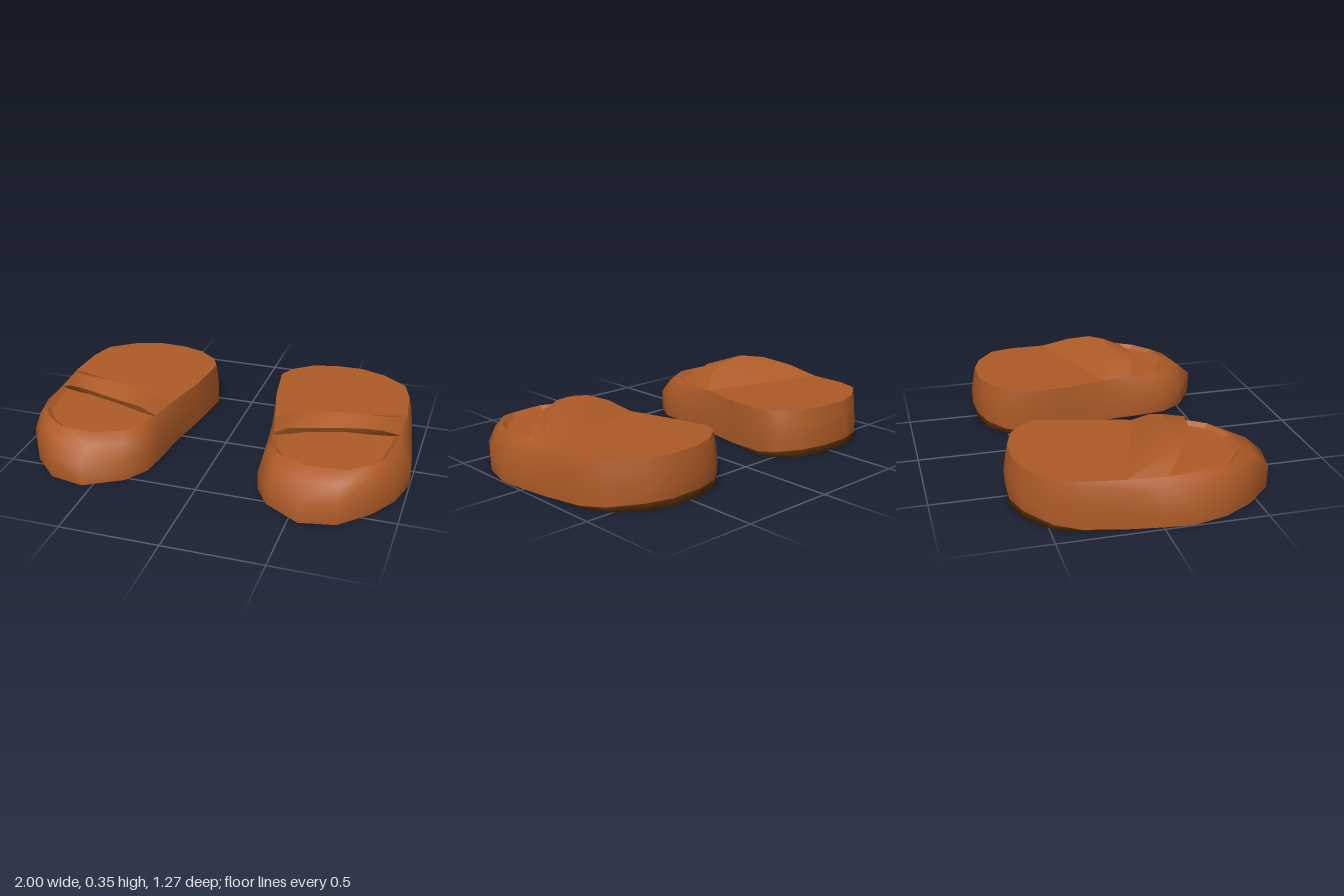
import * as THREE from 'three';

const leather = new THREE.MeshStandardMaterial({ color: 0xae5b27 });
leather.name = 'brown leather';
const rubber = new THREE.MeshStandardMaterial({ color: 0x5f360f });
rubber.name = 'dark brown sole';

// Stations around one shoe: widest outline x, z, then top rim x, z, y
const stations = [
  [0.44, -0.63, 0.45, -0.61, 0.245], [0.61, -0.636, 0.60, -0.615, 0.245],
  [0.74, -0.597, 0.73, -0.575, 0.243], [0.88, -0.485, 0.865, -0.48, 0.24],
  [0.93, -0.365, 0.905, -0.36, 0.237], [0.96, -0.16, 0.925, -0.16, 0.23],
  [0.985, 0, 0.92, 0.04, 0.218], [1, 0.14, 0.91, 0.15, 0.218],
  [0.955, 0.315, 0.89, 0.29, 0.217], [0.87, 0.458, 0.84, 0.37, 0.217],
  [0.73, 0.6, 0.73, 0.455, 0.217], [0.55, 0.636, 0.54, 0.468, 0.217],
  [0.365, 0.523, 0.40, 0.405, 0.217], [0.29, 0.403, 0.335, 0.32, 0.217],
  [0.27, 0.25, 0.315, 0.21, 0.219], [0.255, 0.06, 0.28, 0.05, 0.225],
  [0.215, -0.19, 0.222, -0.19, 0.23], [0.175, -0.425, 0.19, -0.425, 0.24],
  [0.215, -0.515, 0.23, -0.50, 0.243], [0.31, -0.595, 0.33, -0.575, 0.245],
];
const HEEL_END = 5, STRAP_INNER = 15;

// Strap edges, inner end to outer end
const crest = [[0.28, 0.225, 0.05], [0.37, 0.287, 0.115], [0.48, 0.33, 0.14], [0.62, 0.348, 0.135],
  [0.75, 0.326, 0.08], [0.865, 0.28, -0.02], [0.925, 0.23, -0.16]];
const front = [[0.315, 0.219, 0.21], [0.385, 0.272, 0.238], [0.47, 0.3, 0.26], [0.60, 0.308, 0.235],
  [0.74, 0.294, 0.17], [0.84, 0.262, 0.10], [0.92, 0.218, 0.04]];
const lip = [[0.325, 0.208, 0.205], [0.415, 0.243, 0.23], [0.50, 0.272, 0.24], [0.60, 0.277, 0.22],
  [0.69, 0.27, 0.18], [0.775, 0.238, 0.115], [0.89, 0.205, 0.035]];

// Ring of points: k moves from outline to rim, s scales about the shoe's middle
function ring(k, s, height) {
  return stations.map(([x, z, rx, rz, ry]) => [
    0.6 + (x + (rx - x) * k - 0.6) * s,
    height === undefined ? ry : height(z),
    (z + (rz - z) * k) * s,
  ]);
}

// Faces between successive rows of points
function loftFaces(rows, closed) {
  const n = rows[0].length, faces = [];
  for (let i = 0; i < rows.length - 1; i++) {
    for (let j = 0; j < (closed ? n : n - 1); j++) {
      const a = i * n + j, b = i * n + (j + 1) % n;
      faces.push([a, a + n, b], [a + n, b + n, b]);
    }
  }
  return faces;
}

// Fill a flat outline, facing up or down
function capFaces(points, up) {
  const contour = points.map(([x, , z]) => new THREE.Vector2(x, z));
  return THREE.ShapeUtils.triangulateShape(contour, []).map(([a, b, c]) => {
    const p = contour[a], q = contour[b], r = contour[c];
    const ny = (q.y - p.y) * (r.x - p.x) - (q.x - p.x) * (r.y - p.y);
    return (ny > 0) === up ? [a, b, c] : [a, c, b];
  });
}

function makeMesh(name, points, faces, side, flat = false, material = leather) {
  let geometry = new THREE.BufferGeometry();
  geometry.setAttribute('position', new THREE.Float32BufferAttribute(
    points.flatMap(([x, y, z]) => [x * side, y, z]), 3));
  geometry.setIndex(faces.flatMap(([a, b, c]) => (side > 0 ? [a, b, c] : [a, c, b])));
  if (flat) geometry = geometry.toNonIndexed();
  geometry.computeVertexNormals();
  const mesh = new THREE.Mesh(geometry, material);
  mesh.name = name;
  return mesh;
}

function makeShoe(side) {
  const shoe = new THREE.Group();
  shoe.name = side > 0 ? 'leftShoe' : 'rightShoe';
  const loft = (name, rows, closed, flat) =>
    shoe.add(makeMesh(name, rows.flat(), loftFaces(rows, closed), side, flat));
  const cap = (name, points) =>
    shoe.add(makeMesh(name, points, capFaces(points, true), side, true));

  // Dark sole, with its edge curling up at the heel
  const soleEdge = ring(0, 0.996, z => 0.001 + 0.04 * THREE.MathUtils.clamp((-z - 0.28) / 0.33, 0, 1));
  const soleRows = [ring(0, 0.99, () => 0), soleEdge];
  shoe.add(makeMesh('sole', soleRows.flat(),
    [...loftFaces(soleRows, true), ...capFaces(soleRows[0], false)], side, false, rubber));

  // Rounded side wall
  const rim = ring(1, 1);
  loft('sideWall', [soleEdge, ring(0, 1, z => 0.085 + 0.075 * z * z), ring(0.48, 1, () => 0.185), rim], true);

  // Heel bed
  cap('heelBed', [...rim.slice(STRAP_INNER), ...rim.slice(0, HEEL_END + 1)]);

  // Toe top, sunk inside a narrow sloping rim
  const toeRim = rim.slice(HEEL_END, STRAP_INNER + 1);
  const toeInner = toeRim.map(([x, y, z]) =>
    [0.62 + (x - 0.62) * 0.92, y - 0.018, 0.13 + (z - 0.13) * 0.94]);
  loft('toeRim', [toeRim, toeInner], false, true);
  cap('toeTop', toeInner);

  // Strap: rear ramp, outer band, front lip and underside
  const rear = crest.map(([x]) => {
    const t = (x - 0.28) / 0.645;
    return [x, 0.225 + 0.005 * t, 0.05 - 0.21 * t];
  });
  const underRear = lip.map(([x, , z]) => [x, 0.195, z - 0.16]);
  loft('strapRamp', [rear, crest], false);
  loft('strapBand', [crest, front], false);
  loft('strapLip', [front, lip], false);
  loft('strapUnderside', [lip, underRear], false);
  return shoe;
}

export function createModel() {
  const model = new THREE.Group();
  model.name = 'pairOfShoes';
  for (const side of [1, -1]) model.add(makeShoe(side));
  return model;
}
